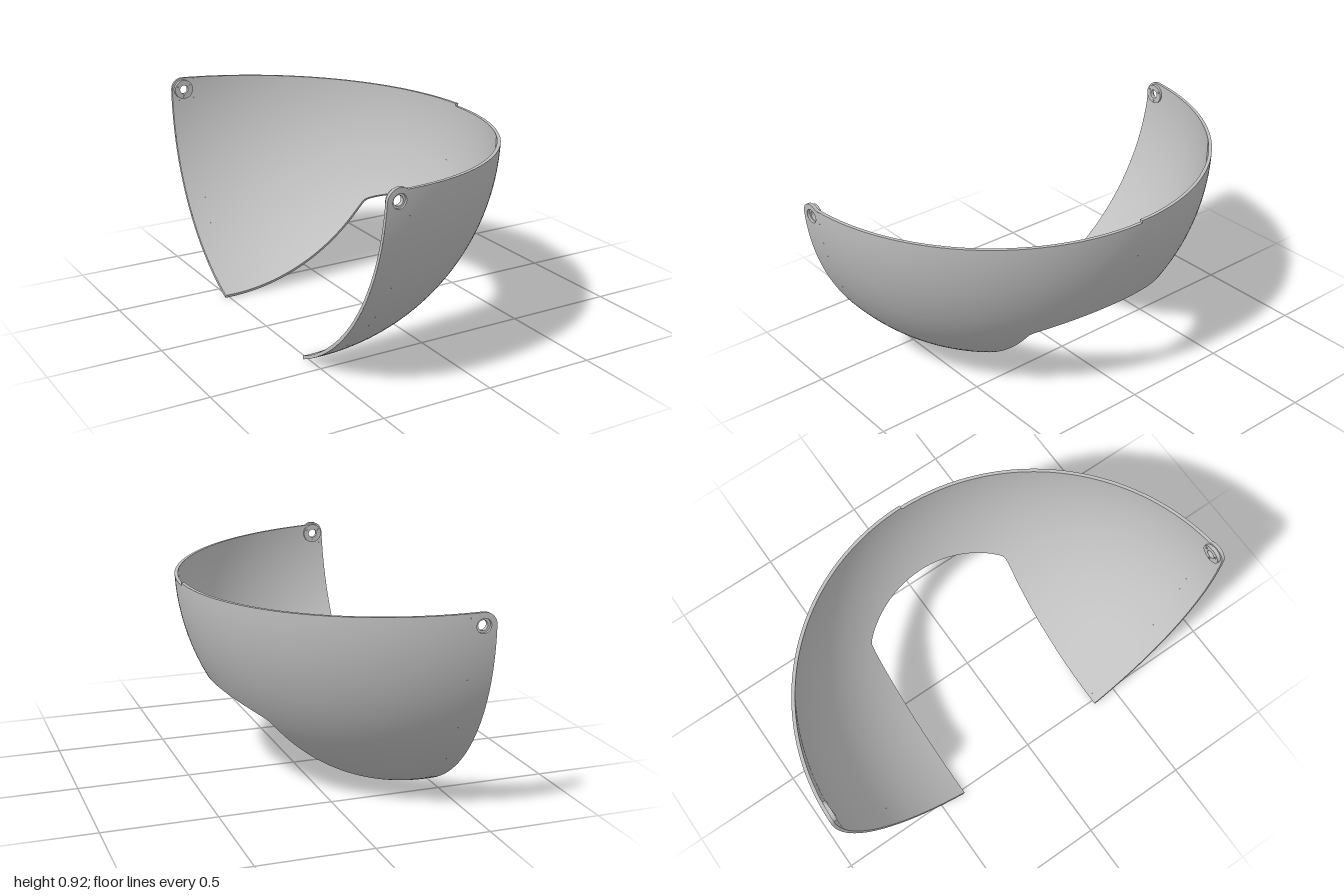
import * as THREE from 'three';

const OUTER = 1, INNER = 0.985;   // shell radii
const TAB = 0.055;                // half width of the pivot corner
const NOTCH = 0.385;              // half width of the lower opening
const HOLE = 0.031;

// a: angle from the side towards the nose, d: angle down from the rim
const onSphere = ([a, d], r) => [
  r * Math.cos(d) * Math.sin(a), -r * Math.sin(d), r * Math.cos(d) * Math.cos(a)];

// Lower edge: straight notch side running into a slanted nose cut, with a soft corner
function lowerEdge(a) {
  const side = Math.acos(Math.min(1, NOTCH / Math.max(Math.cos(a), 1e-6)));
  if (a < 0.85) return side;
  const k = 0.597 * Math.sin(a);
  const nose = Math.asin(0.988 / Math.hypot(1, k)) - Math.atan(k);
  return 0.5 * (side + nose + Math.hypot(side - nose, 0.025));
}

// Smooth spherical grid, facing outwards or inwards
function skin(at, nu, nv, r, sign) {
  const pos = [], nor = [], idx = [];
  for (let i = 0; i <= nu; i++) {
    for (let j = 0; j <= nv; j++) {
      const p = onSphere(at(i, j / nv), r);
      pos.push(...p);
      nor.push(...p.map(c => sign * c / r));
      if (i < nu && j < nv) {
        const a = i * (nv + 1) + j, b = a + 1, c = a + nv + 1, d = c + 1;
        idx.push(...(sign > 0 ? [a, b, c, b, d, c] : [a, c, b, b, c, d]));
      }
    }
  }
  const g = new THREE.BufferGeometry();
  g.setAttribute('position', new THREE.Float32BufferAttribute(pos, 3));
  g.setAttribute('normal', new THREE.Float32BufferAttribute(nor, 3));
  g.setIndex(idx);
  return g;
}

// Narrow edge wall joining the two skins along a path
function wall(path) {
  const pos = [];
  for (let i = 0; i + 1 < path.length; i++) {
    const a = onSphere(path[i], OUTER), b = onSphere(path[i + 1], OUTER);
    const c = onSphere(path[i], INNER), d = onSphere(path[i + 1], INNER);
    pos.push(...a, ...b, ...c, ...b, ...d, ...c);
  }
  const g = new THREE.BufferGeometry();
  g.setAttribute('position', new THREE.Float32BufferAttribute(pos, 3));
  g.computeVertexNormals();
  return g;
}

function shellHalf(name, top, material) {
  const half = new THREE.Group();
  half.name = name;
  const add = (geometry, part) => {
    const m = new THREE.Mesh(geometry, material);
    m.name = part;
    half.add(m);
    return m;
  };
  const addSkin = (at, nu, nv, part) => {
    add(skin(at, nu, nv, OUTER, 1), part + 'Outside');
    add(skin(at, nu, nv, INNER, -1), part + 'Inside');
  };
  const mix = THREE.MathUtils.lerp;
  const W = 2 * TAB, N = 80, S = 8;
  const mainAngle = i => mix(W, Math.PI / 2, i / N);

  // Main visor surface and the narrow strip below the pivot corner
  addSkin((i, v) => {
    const a = mainAngle(i);
    return [a, mix(top, lowerEdge(a), v)];
  }, N, 32, 'visor');
  addSkin((i, v) => {
    const a = W * i / S;
    return [a, mix(W, lowerEdge(a), v)];
  }, S, 32, 'sideStrip');

  // Pivot corner: rounded outline around a round hole
  const corner = Math.atan2(TAB - top, TAB);
  const tabPoint = (t, r) => [TAB + r * Math.cos(t), TAB - r * Math.sin(t)];
  const outline = t => {
    const c = Math.cos(t), s = Math.sin(t);
    if (c < 1e-6 && s > -1e-6) return TAB;
    const up = s > 0 ? TAB - top : TAB;
    return Math.max(TAB, Math.min(TAB / Math.max(Math.abs(c), 1e-6), up / Math.max(Math.abs(s), 1e-6)));
  };
  const angles = Array.from({ length: 65 }, (_, i) => i * Math.PI / 32);
  if (top > 0) angles.push(corner);
  angles.sort((a, b) => a - b);
  addSkin((i, v) => tabPoint(angles[i], mix(HOLE, outline(angles[i]), v)),
    angles.length - 1, 3, 'pivotCorner');

  // Edge walls all the way round, and inside the hole
  const rim = [[Math.PI / 2, 0.02]];
  for (let i = N; i >= 0; i--) rim.push([mainAngle(i), top]);
  for (const t of angles) {
    if (t >= corner && t <= Math.PI * 1.25 + 1e-6) rim.push(tabPoint(t, outline(t)));
  }
  for (let j = 0; j <= 24; j++) rim.push([0, mix(W, lowerEdge(0), j / 24)]);
  for (let i = 0; i <= S; i++) rim.push([W * i / S, lowerEdge(W * i / S)]);
  for (let i = 0; i <= N; i++) rim.push([mainAngle(i), lowerEdge(mainAngle(i))]);
  add(wall(rim), 'edge');
  add(wall(angles.map(t => tabPoint(t, HOLE))), 'holeWall');

  // Washer-like boss on the inside, with three small pins
  const ring = new THREE.Shape().absarc(0, 0, 0.046, 0, Math.PI * 2, false);
  ring.holes.push(new THREE.Path().absarc(0, 0, 0.021, 0, Math.PI * 2, true));
  const boss = add(new THREE.ExtrudeGeometry(ring,
    { depth: 0.018, bevelEnabled: false, curveSegments: 32 }), 'pivotBoss');
  boss.position.set(TAB, -TAB, 0.968);
  for (let k = 0; k < 3; k++) {
    const t = -Math.PI / 2 + k * Math.PI * 2 / 3;
    const pin = add(new THREE.CylinderGeometry(0.005, 0.005, 0.008, 10), 'bossPin');
    pin.rotation.x = Math.PI / 2;
    pin.position.set(TAB + 0.034 * Math.cos(t), -TAB + 0.034 * Math.sin(t), 0.968);
  }
  return half;
}

export function createModel() {
  const grey = new THREE.MeshStandardMaterial({ color: 0xc0c0c0, side: THREE.DoubleSide });
  grey.name = 'light grey';

  const model = new THREE.Group();
  model.name = 'visor';
  const nearHalf = shellHalf('frontHalf', 0.012, grey);
  const farHalf = shellHalf('backHalf', 0, grey);
  farHalf.scale.z = -1;
  model.add(nearHalf, farHalf);

  // The whole shell leans slightly towards the nose
  model.rotation.z = THREE.MathUtils.degToRad(-2);
  model.position.set(-0.488, 0.922, 0);
  const root = new THREE.Group();
  root.name = 'visorModel';
  root.add(model);
  return root;
}
